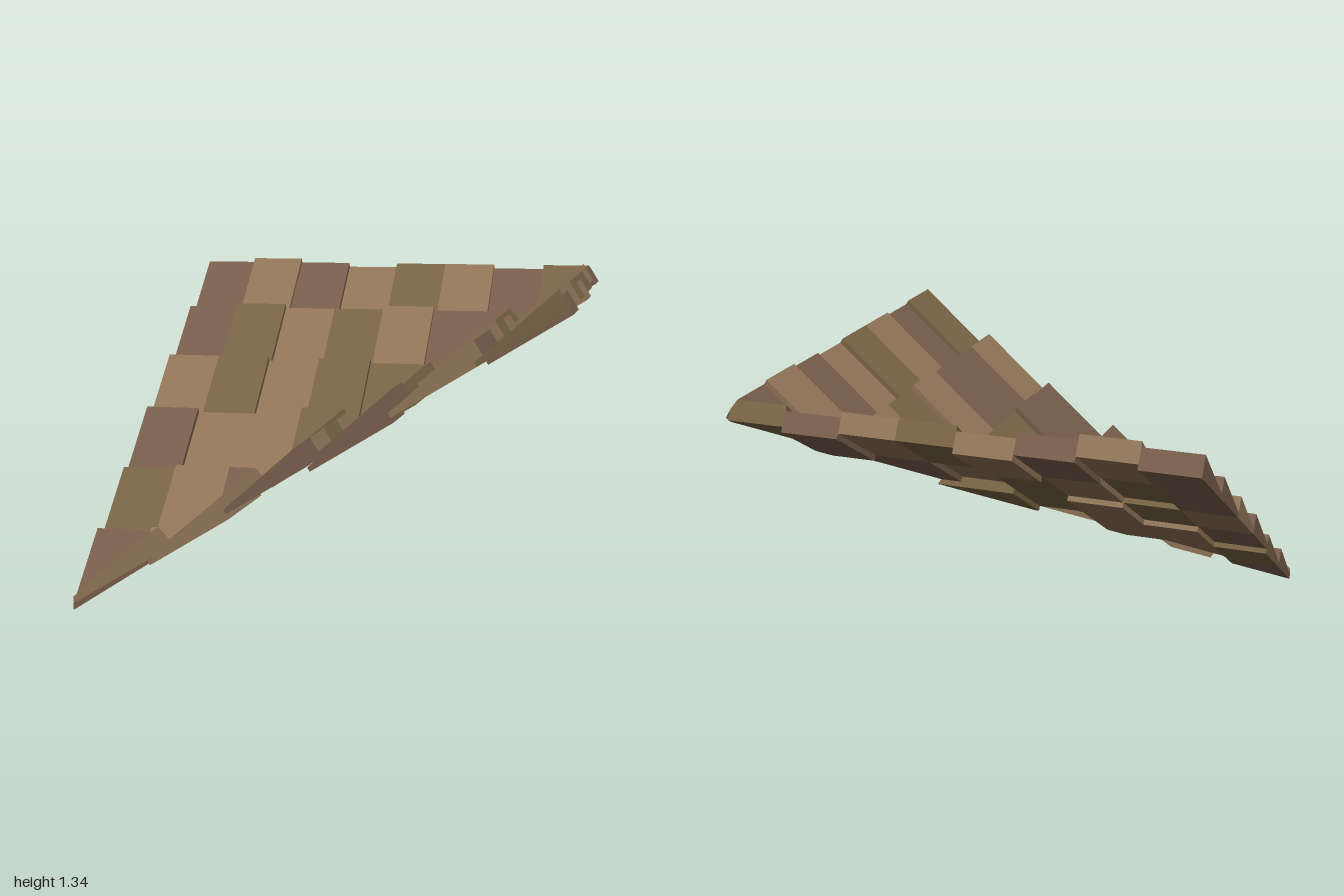
import * as THREE from 'three';
import { ConvexGeometry } from 'three/addons/geometries/ConvexGeometry.js';

// Shingles from the top row down: colour letter and lift off the roof plane
const COLORS = ['RTRTOTRO', 'ROTOTRRT', 'TOTOOORR', 'RTTOTOTR', 'OTRTTTTT', 'RTTTTTTT'];
const LIFTS = ['0+0-00-0', '0+00+000', '00-0--0-', '0--+0000', '-00000--', '-0000000'];
const PALETTE = { R: 0x765c4a, T: 0x8f7357, O: 0x766344 };

const PITCH = Math.atan(0.615);
const COS = Math.cos(PITCH), SIN = Math.sin(PITCH);
const ROW = 2 / COS / 6;
const COL = 0.2455;
const LIFT = 0.023;

// Eight corners of a wedge shingle in (along slope, across, off roof) space
function wedge(row, col, lift) {
  const corners = [];
  for (let i = 0; i < 8; i++) {
    const upper = i & 1, right = (i >> 1) & 1, top = (i >> 2) & 1;
    const s = (5 - row + upper) * ROW;
    const n = LIFT * (1 + lift) + (top ? (upper ? 0.089 : 0.02) : 0);
    corners.push({ run: s * COS - n * SIN, y: s * SIN + n * COS, across: -1 + (col + right) * COL });
  }
  return corners;
}

// Keep the part of a wedge on the positive side of the valley plane
function clip(points, side) {
  const d = points.map((p) => side * (p.x + p.z));
  if (Math.max(...d) < 0.004) return null;
  const kept = points.filter((p, i) => d[i] >= 0);
  for (let i = 0; i < 8; i++) {
    for (const bit of [1, 2, 4]) {
      const j = i | bit;
      if (j !== i && d[i] * d[j] < 0) {
        kept.push(points[i].clone().lerp(points[j], d[i] / (d[i] - d[j])));
      }
    }
  }
  return new ConvexGeometry(kept);
}

// One roof slope, mitred along the valley
function slope(name, place, side, materials) {
  const group = new THREE.Group();
  group.name = name;
  COLORS.forEach((letters, row) => {
    [...letters].forEach((letter, col) => {
      const lift = { '-': -1, 0: 0, '+': 1 }[LIFTS[row][col]];
      const geometry = clip(wedge(row, col, lift).map(place), side);
      if (!geometry) return;
      const shingle = new THREE.Mesh(geometry, materials[letter]);
      shingle.name = `shingleRow${row + 1}Column${col + 1}`;
      group.add(shingle);
    });
  });
  return group;
}

export function createModel() {
  const model = new THREE.Group();
  model.name = 'roofValleyCorner';
  const materials = {};
  for (const key in PALETTE) {
    materials[key] = new THREE.MeshStandardMaterial({ color: PALETTE[key], flatShading: true });
  }
  // Back slope rises towards -z, side slope rises towards +x
  model.add(slope('backSlope', (p) => new THREE.Vector3(p.across, p.y, 1 - p.run), -1, materials));
  model.add(slope('sideSlope', (p) => new THREE.Vector3(p.run - 1, p.y, p.across + 0.036), 1, materials));
  return model;
}
